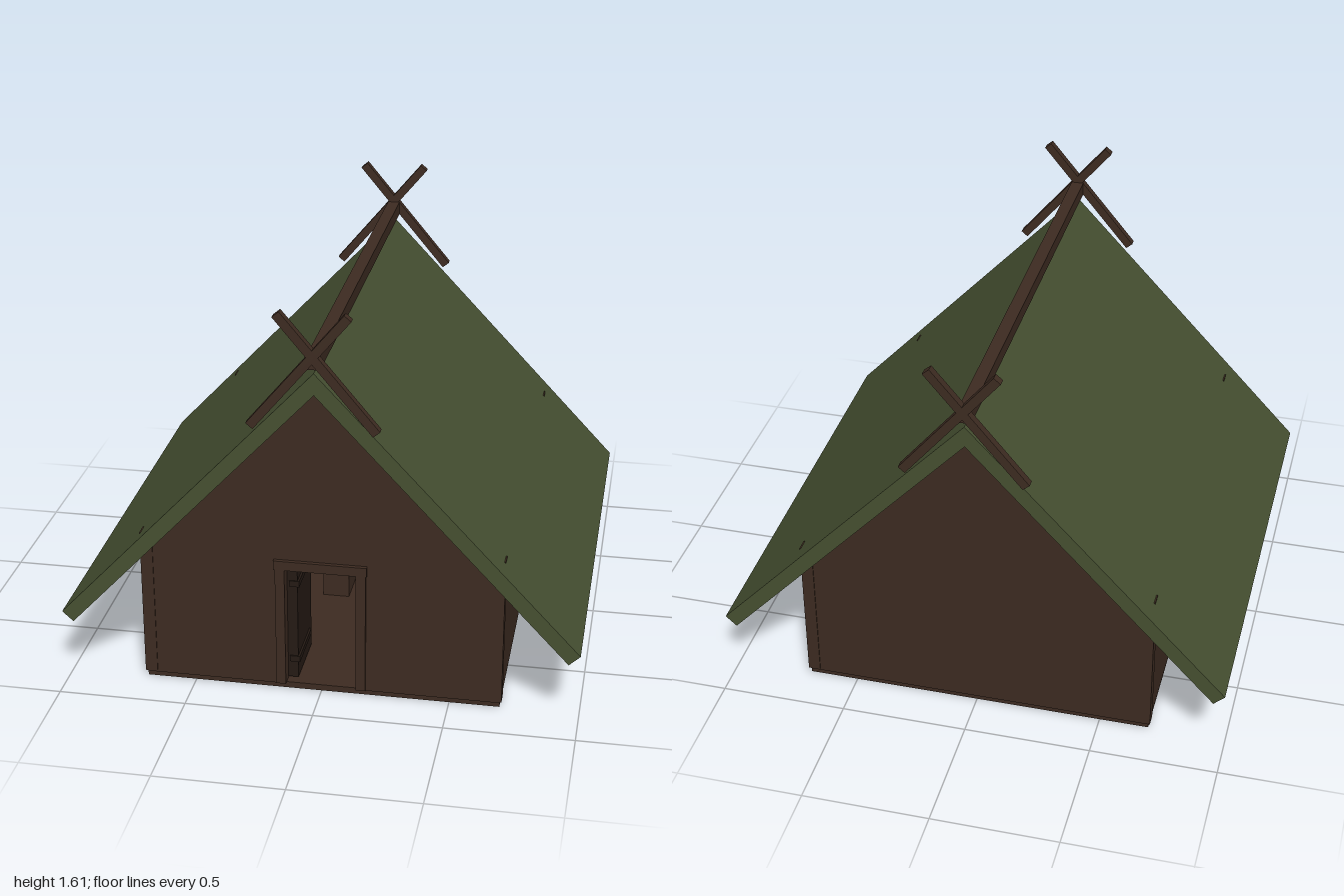
import * as THREE from 'three';

const mat = (name, color) => Object.assign(new THREE.MeshStandardMaterial({ color }), { name });

export function createModel() {
  const wood = mat('brown wood', 0x3d2b21);
  const darkWood = mat('dark wood', 0x251a14);
  const thatch = mat('green roof', 0x465031);
  const house = new THREE.Group();
  house.name = 'house';

  const add = (name, geo, m, parent = house) => {
    const mesh = new THREE.Mesh(geo, m);
    mesh.name = name;
    parent.add(mesh);
    return mesh;
  };
  // Box given by its two opposite corners
  const box = (name, m, x0, x1, y0, y1, z0, z1, parent) => {
    const b = add(name, new THREE.BoxGeometry(Math.abs(x1 - x0), y1 - y0, Math.abs(z1 - z0)), m, parent);
    b.position.set((x0 + x1) / 2, (y0 + y1) / 2, (z0 + z1) / 2);
    return b;
  };
  const shapeOf = pts => new THREE.Shape(pts.map(p => new THREE.Vector2(...p)));
  const extrude = (shape, depth, z) =>
    new THREE.ExtrudeGeometry(shape, { depth, bevelEnabled: false }).translate(0, 0, z);

  // Floor slab
  box('floor', wood, -0.695, 0.695, 0, 0.025, -0.815, 0.815);

  // Gable walls, the front one notched for the doorway
  const gableTop = [[0.695, 0.02], [0.695, 0.6], [0, 1.34], [-0.695, 0.6], [-0.695, 0.02]];
  const doorway = [[-0.14, 0.02], [-0.14, 0.53], [0.14, 0.53], [0.14, 0.02]];
  add('frontWall', extrude(shapeOf([...gableTop, ...doorway]), 0.04, 0.78), wood);
  add('backWall', extrude(shapeOf(gableTop), 0.04, -0.82), wood);

  // Side walls, corner posts and windows
  for (const s of [-1, 1]) {
    box('sideWall', wood, s * 0.66, s * 0.698, 0.02, 0.63, -0.8, 0.8);
    for (const e of [-1, 1]) {
      box('cornerPost', wood, s * 0.655, s * 0.703, 0.025, 0.632, e * 0.775, e * 0.824);
      const win = new THREE.Group();
      win.name = 'window';
      win.position.set(s * 0.7, 0.375, e * 0.41);
      house.add(win);
      for (const k of [-1, 0, 1]) {
        box('windowUpright', wood, -0.006, 0.006, -0.09, 0.09, k * 0.084 - 0.006, k * 0.084 + 0.006, win);
        box('windowBar', wood, -0.006, 0.006, k * 0.084 - 0.006, k * 0.084 + 0.006, -0.09, 0.09, win);
      }
    }
  }

  // Door frame
  for (const s of [-1, 1]) box('doorJamb', wood, s * 0.138, s * 0.175, 0.025, 0.53, 0.775, 0.832);
  box('doorLintel', wood, -0.18, 0.18, 0.525, 0.563, 0.775, 0.836);

  // Door standing open into the room, with hinge straps
  box('door', darkWood, -0.138, -0.098, 0.03, 0.51, 0.52, 0.78);
  for (const y of [0.1, 0.43]) box('hingeStrap', darkWood, -0.13, -0.09, y, y + 0.025, 0.56, 0.785);

  // Simple furniture
  box('stool', wood, -0.13, -0.02, 0.025, 0.13, -0.1, 0.1);
  box('tableTop', wood, 0, 0.42, 0.185, 0.205, -0.3, 0.1);
  for (const x of [0.01, 0.39]) {
    for (const z of [-0.28, 0.06]) box('tableLeg', wood, x, x + 0.022, 0.025, 0.185, z, z + 0.022);
  }

  // Two roof slopes meeting at the ridge
  for (const s of [-1, 1]) {
    const pts = [[0, 1.29], [0.957 * s, 0.27], [s, 0.31], [0, 1.375]];
    add('roofSlope', extrude(shapeOf(pts), 1.835, -0.92), thatch);
  }

  // Ridge pole and crossed gable poles
  box('ridgePole', wood, -0.025, 0.025, 1.39, 1.445, -0.918, 0.918);
  for (const e of [-1, 1]) {
    for (const s of [-1, 1]) {
      const pole = add('crossedPole', new THREE.BoxGeometry(0.034, 0.57, 0.031), wood);
      pole.position.set(s * 0.052, 1.385, e * 0.93);
      pole.rotation.z = s * 0.695;
    }
  }
  return house;
}
